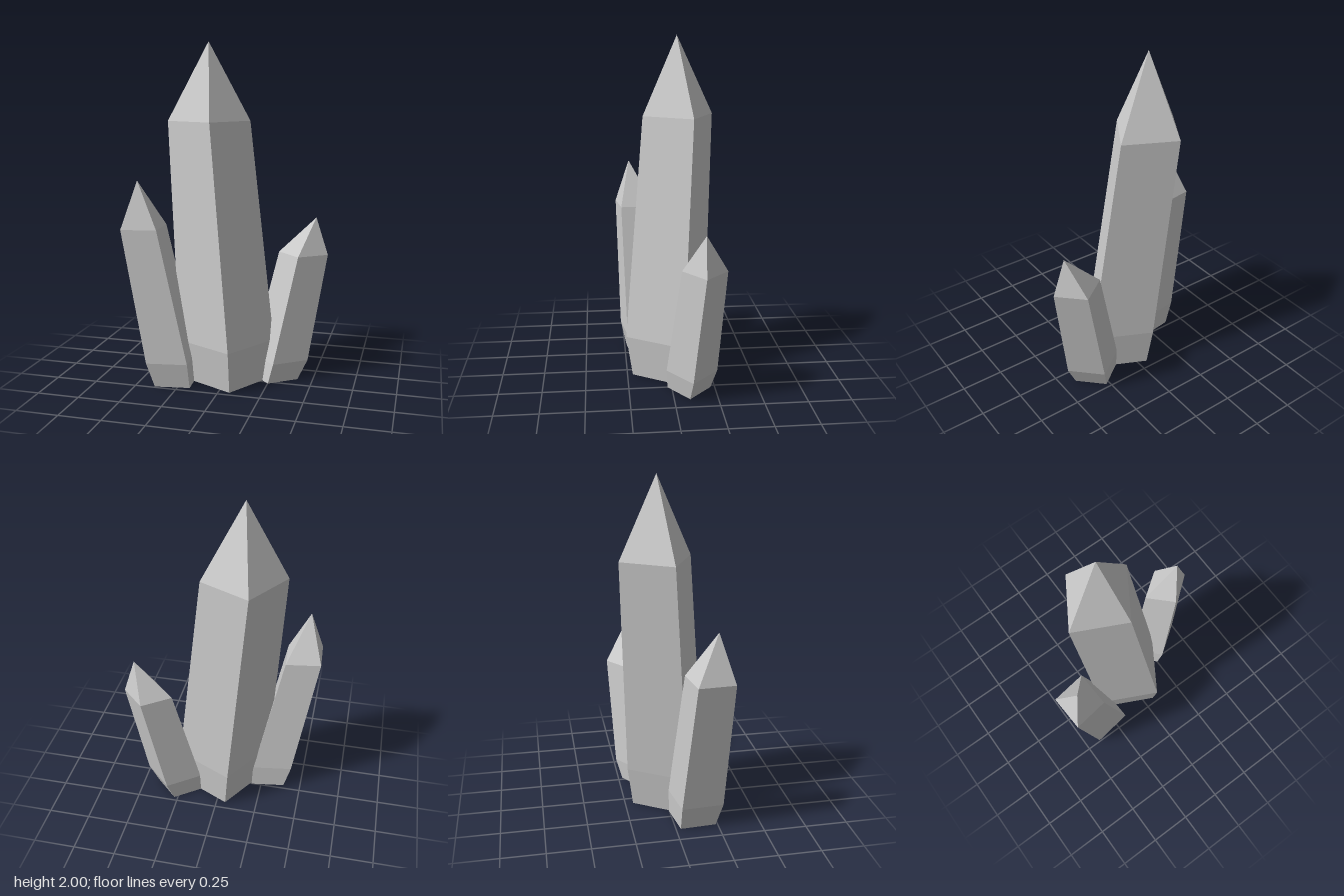
import * as THREE from 'three';

// Four-sided leaning crystal: a, b are half-diagonals [x, z] of its section;
// rings are [x, y, z, scale] from the ground up, ending in the tip (scale 0).
function crystal(name, a, b, rings) {
  const positions = [];
  const index = [];
  for (const [x, y, z, s] of rings) {
    for (const [u, v] of [[1, 0], [0, 1], [-1, 0], [0, -1]]) {
      positions.push(x + s * (u * a[0] + v * b[0]), y, z + s * (u * a[1] + v * b[1]));
    }
  }
  for (let r = 0; r < rings.length - 1; r++) {
    for (let i = 0; i < 4; i++) {
      const p0 = r * 4 + i;
      const p1 = r * 4 + (i + 1) % 4;
      index.push(p0, p0 + 4, p1);
      if (rings[r + 1][3] > 0) index.push(p1, p0 + 4, p1 + 4);
    }
  }
  // flat underside
  index.push(0, 1, 2, 0, 2, 3);

  const indexed = new THREE.BufferGeometry();
  indexed.setAttribute('position', new THREE.Float32BufferAttribute(positions, 3));
  indexed.setIndex(index);
  const geometry = indexed.toNonIndexed();
  geometry.computeVertexNormals();
  const material = new THREE.MeshStandardMaterial({ color: 0xcccccc, flatShading: true });
  const mesh = new THREE.Mesh(geometry, material);
  mesh.name = name;
  return mesh;
}

export function createModel() {
  const group = new THREE.Group();
  group.name = 'crystalCluster';
  group.add(
    // tall central crystal
    crystal('mainCrystal', [0.232, -0.068], [0.06, 0.21], [
      [0.005, 0, 0.008, 1],
      [-0.005, 0.245, 0.01, 1.165],
      [-0.132, 1.545, -0.071, 1],
      [-0.132, 2, -0.064, 0],
    ]),
    // medium crystal at the front, on the -x side
    crystal('frontCrystal', [0.108, 0.09], [-0.097, 0.12], [
      [-0.286, 0, 0.118, 1],
      [-0.31, 0.15, 0.132, 1.165],
      [-0.46, 0.94, 0.17, 1],
      [-0.482, 1.215, 0.206, 0],
    ]),
    // short crystal at the back, on the +x side
    crystal('backCrystal', [0.148, 0.01], [-0.01, 0.125], [
      [0.262, 0, -0.1, 1],
      [0.295, 0.122, -0.113, 1.165],
      [0.421, 0.763, -0.165, 1],
      [0.497, 0.983, -0.161, 0],
    ]),
  );
  return group;
}
